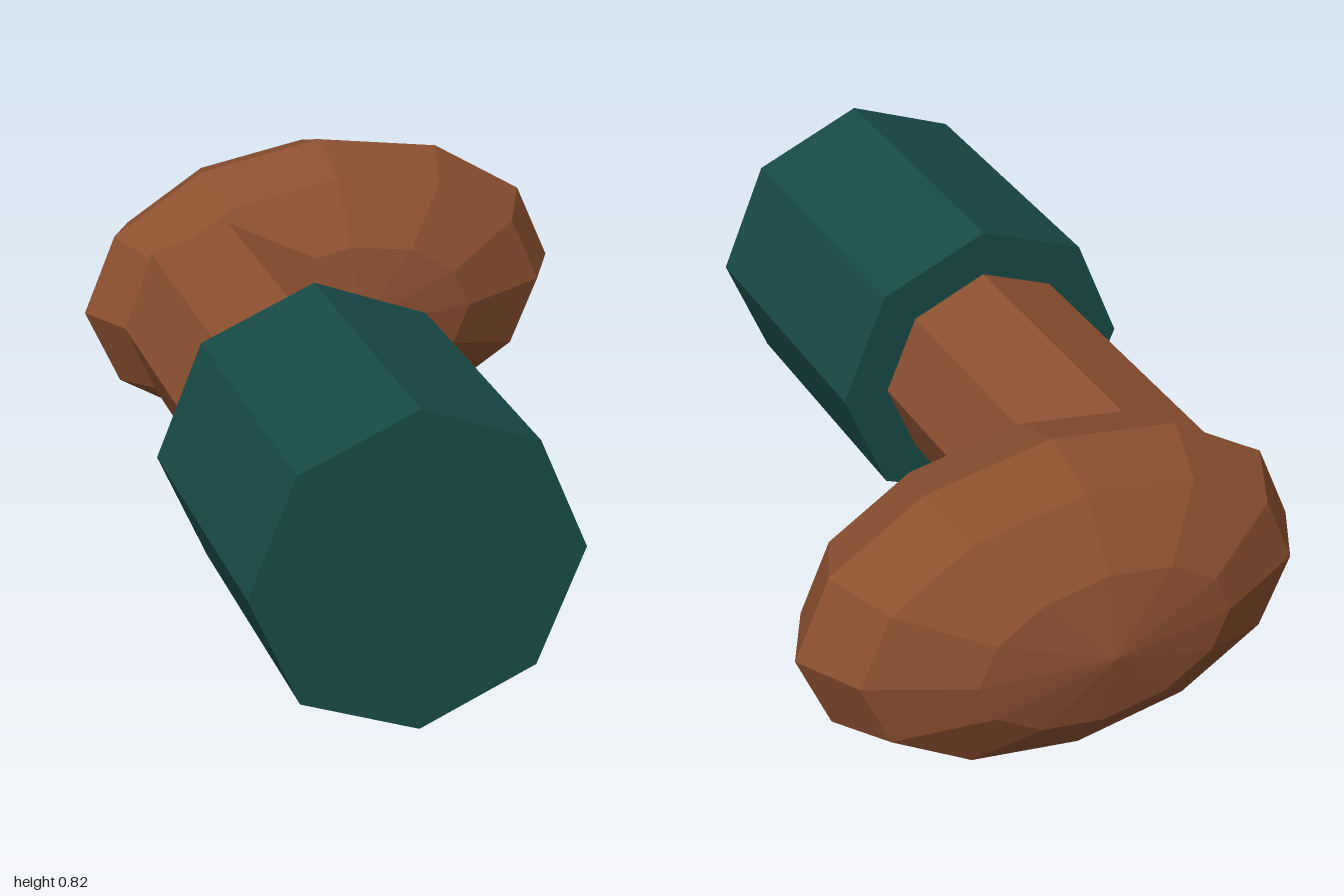
import * as THREE from 'three';

const paint = (color) => new THREE.MeshStandardMaterial({ color, flatShading: true });

export function createModel() {
  const model = new THREE.Group();
  const green = paint(0x184a46);
  const brown = paint(0x8b5030);
  const axisX = -0.285, midY = 0.413;

  // Octagonal bar running along z between two depths
  function bar(name, radius, zBack, zFront, material) {
    const geo = new THREE.CylinderGeometry(radius, radius, zFront - zBack, 8);
    geo.rotateX(Math.PI / 2);
    const mesh = new THREE.Mesh(geo, material);
    mesh.name = name;
    mesh.position.set(axisX, midY, (zFront + zBack) / 2);
    model.add(mesh);
  }
  bar('sleeve', 0.397, 0.24, 1, green);
  bar('forearm', 0.275, -0.58, 0.24, brown);

  // Faceted ellipsoid hand, poles along z
  const handGeo = new THREE.SphereGeometry(1, 12, 6);
  handGeo.rotateX(Math.PI / 2);
  handGeo.scale(0.655, 0.412, 0.32);
  const hand = new THREE.Mesh(handGeo, brown);
  hand.name = 'hand';
  hand.position.set(0.02, midY, -0.68);
  model.add(hand);

  return model;
}
